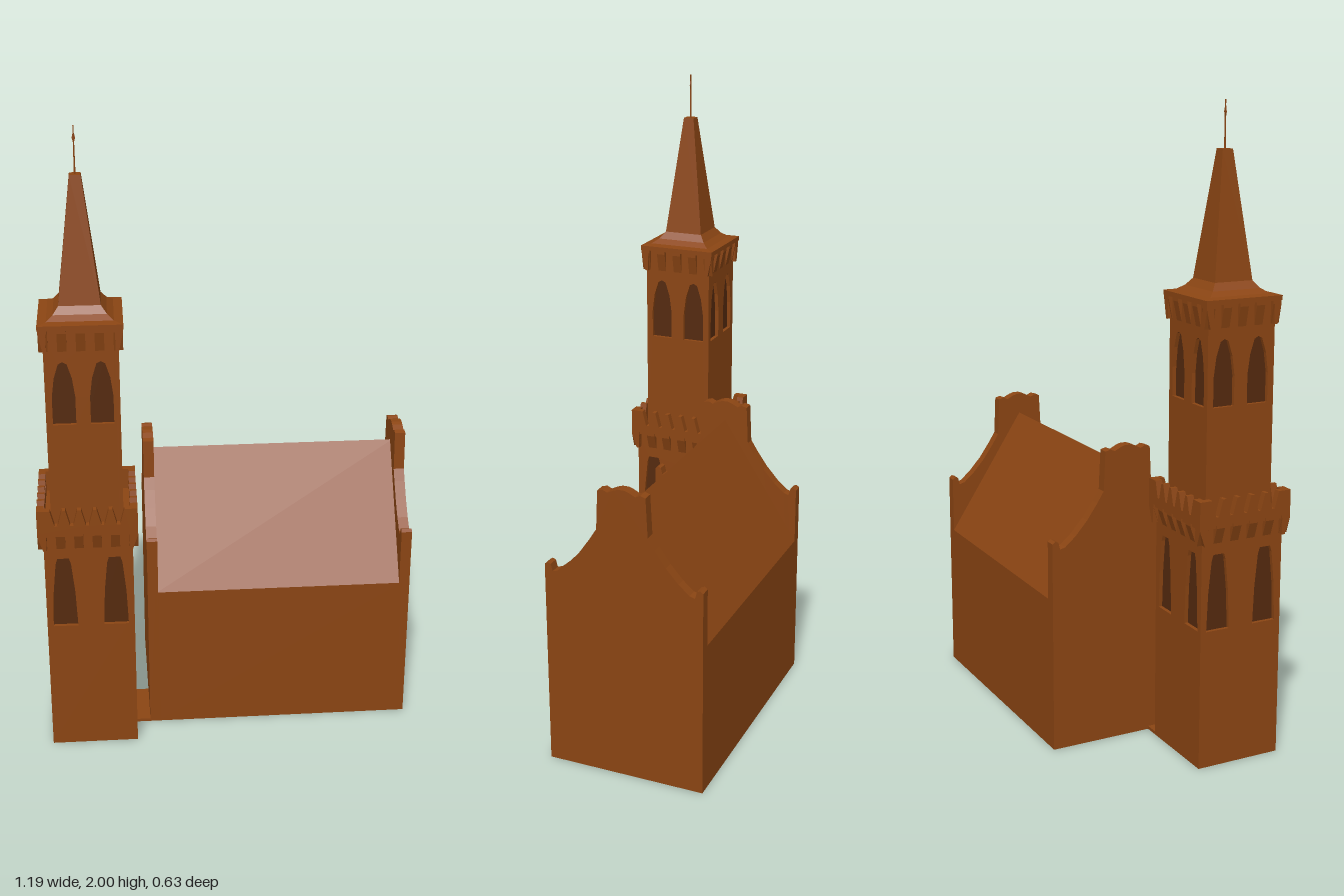
import * as THREE from 'three';

const brown = new THREE.MeshStandardMaterial({ color: 0x8b4513, flatShading: true });
const dark = new THREE.MeshStandardMaterial({ color: 0x552a0e, flatShading: true });

function mesh(name, geometry, material = brown) {
  const m = new THREE.Mesh(geometry, material);
  m.name = name;
  return m;
}

function box(name, x0, x1, y0, y1, z0, z1, material) {
  const g = new THREE.BoxGeometry(x1 - x0, y1 - y0, z1 - z0);
  g.translate((x0 + x1) / 2, (y0 + y1) / 2, (z0 + z1) / 2);
  return mesh(name, g, material);
}

const shapeOf = pts => new THREE.Shape(pts.map(p => new THREE.Vector2(...p)));

const extrude = (shape, depth) =>
  new THREE.ExtrudeGeometry(shape, { depth, bevelEnabled: false });

// Extrude a (z, y) outline along x from x0 to x1
function extrudeX(pts, x0, x1) {
  const g = extrude(shapeOf(pts.map(([z, y]) => [-z, y])), x1 - x0);
  g.rotateY(Math.PI / 2);
  g.translate(x0, 0, 0);
  return g;
}

// Repeat a front-facing part on all four sides of the tower
function fourSides(name, build) {
  const group = new THREE.Group();
  group.name = name;
  for (let i = 0; i < 4; i++) {
    const side = new THREE.Group();
    side.name = name + 'Side';
    side.add(...build());
    side.rotation.y = i * Math.PI / 2;
    group.add(side);
  }
  return group;
}

// Square shaft: four pierced wall panels around a dark core
function shaft(name, h, y0, y1, windowOutline) {
  const t = 0.012;
  const walls = fourSides(name, () => {
    const s = shapeOf([[-h, y0], [h - t, y0], [h - t, y1], [-h, y1]]);
    for (const sign of [-1, 1]) {
      s.holes.push(new THREE.Path(windowOutline.map(([x, y]) => new THREE.Vector2(sign * x, y))));
    }
    const g = extrude(s, t);
    g.translate(0, 0, h - t);
    return [mesh(name + 'Wall', g)];
  });
  const c = h - t;
  walls.add(box(name + 'WindowRecess', -c, c, y0 + 0.004, y1 - 0.004, -c, c, dark));
  return walls;
}

// Row of wedge-shaped corbels projecting from h to out
function corbels(name, h, out, y0, y1, count) {
  const w = 2 * out / (2 * count - 1);
  return fourSides(name, () => Array.from({ length: count }, (_, i) => {
    const x = -out + 2 * i * w;
    return mesh(name, extrudeX(
      [[h - 0.01, y0], [h, y0], [out, y1 - 0.02], [out, y1], [h - 0.01, y1]], x, x + w));
  }));
}

// Parapet strip with V-shaped notches
function parapet(h, y0, y1, notches) {
  const t = 0.022;
  const pitch = 2 * (h - 0.035) / notches;
  return fourSides('parapet', () => {
    const pts = [[-h, y0], [h - t, y0], [h - t, y1]];
    for (let i = notches - 1; i >= 0; i--) {
      const x = -h + 0.035 + pitch * (i + 0.5);
      pts.push([x + pitch * 0.38, y1], [x + pitch * 0.1, y1 - 0.052],
        [x - pitch * 0.1, y1 - 0.052], [x - pitch * 0.38, y1]);
    }
    pts.push([-h, y1]);
    const g = extrude(shapeOf(pts), t);
    g.translate(0, 0, h - t);
    return [mesh('parapetWall', g)];
  });
}

// Four-sided turned form; profile gives half-widths
function squareLathe(name, profile) {
  const pts = profile.map(([r, y]) => new THREE.Vector2(r * Math.SQRT2, y));
  return mesh(name, new THREE.LatheGeometry(pts, 4, Math.PI / 4));
}

function createTower() {
  const tower = new THREE.Group();
  tower.name = 'tower';

  tower.add(shaft('lowerShaft', 0.138, 0, 0.77, [
    [0.041, 0.44], [0.119, 0.44], [0.114, 0.56], [0.104, 0.66],
    [0.098, 0.68], [0.062, 0.68], [0.056, 0.66], [0.046, 0.56]]));
  tower.add(corbels('parapetCorbel', 0.138, 0.155, 0.715, 0.785, 6));
  tower.add(box('deck', -0.15, 0.15, 0.765, 0.785, -0.15, 0.15));
  tower.add(parapet(0.155, 0.775, 0.853, 5));

  tower.add(shaft('upperShaft', 0.112, 0.77, 1.43, [
    [0.022, 1.12], [0.092, 1.12], [0.092, 1.21], [0.084, 1.27],
    [0.07, 1.315], [0.057, 1.322], [0.044, 1.315], [0.03, 1.27], [0.022, 1.21]]));
  tower.add(corbels('corniceCorbel', 0.112, 0.125, 1.355, 1.435, 5));

  // Spire with flared foot
  tower.add(squareLathe('spire', [
    [0, 1.425], [0.127, 1.425], [0.127, 1.44], [0.1, 1.444],
    [0.08, 1.458], [0.063, 1.48], [0.017, 1.86], [0, 1.86]]));
  const rod = new THREE.CylinderGeometry(0.0018, 0.003, 0.15, 6);
  rod.translate(0, 1.925, 0);
  tower.add(mesh('finialRod', rod));
  const vane = extrude(shapeOf([[0, 1.945], [0.005, 1.965], [0, 1.985], [-0.005, 1.965]]), 0.003);
  vane.translate(0, 0, -0.0015);
  tower.add(mesh('finialVane', vane));

  tower.position.set(-0.443, 0, 0.16);
  tower.scale.z = 1.015;
  return tower;
}

function createHall() {
  const hall = new THREE.Group();
  hall.name = 'hall';
  const mid = -0.058;

  // Walls and pitched roof
  hall.add(mesh('hallBody', extrudeX(
    [[0.2, 0], [0.2, 0.49], [mid, 0.89], [-0.316, 0.49], [-0.316, 0]].reverse(), -0.23, 0.57)));

  // Stepped and curved gables, mirrored about the ridge
  const half = [
    [0.258, 0], [0.258, 0.675], [0.248, 0.682], [0.238, 0.678], [0.232, 0.655],
    [0.215, 0.66], [0.18, 0.69], [0.14, 0.735], [0.105, 0.785], [0.083, 0.82],
    [0.077, 0.945], [0.06, 0.95], [0.045, 0.943], [0.025, 0.953], [0.01, 0.958]];
  const outline = [
    ...half.map(([d, y]) => [mid + d, y]),
    ...half.map(([d, y]) => [mid - d, y]).reverse()];
  for (const [name, x0, x1] of [['rightGable', -0.26, -0.226], ['leftGable', 0.562, 0.596]]) {
    hall.add(mesh(name, extrudeX(outline, x0, x1)));
  }
  return hall;
}

export function createModel() {
  const model = new THREE.Group();
  model.name = 'church';
  model.add(createTower(), createHall());
  // Low slab joining tower and hall
  model.add(box('linkSlab', -0.31, -0.255, 0, 0.01, 0.02, 0.2));
  return model;
}
